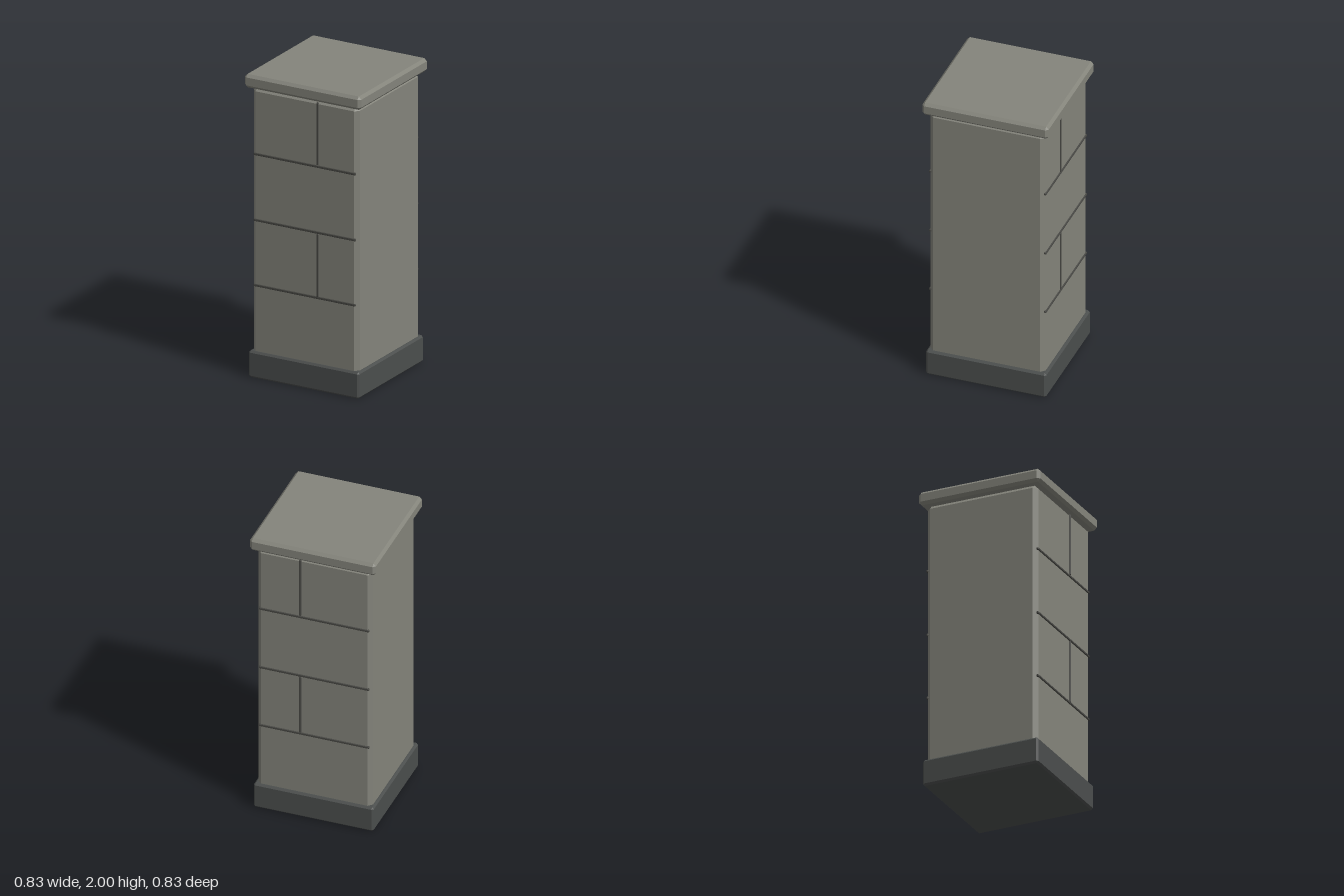
import * as THREE from 'three';
import { ConvexGeometry } from 'three/addons/geometries/ConvexGeometry.js';

const stone = new THREE.MeshStandardMaterial({ color: 0x84847b, flatShading: true });
const darkStone = new THREE.MeshStandardMaterial({ color: 0x4b4e4d, flatShading: true });
const mortar = new THREE.MeshStandardMaterial({ color: 0x484844, flatShading: true });

// Box with every edge cut off by a flat bevel of size c
function bevelledBox(w, h, d, c) {
  const points = [];
  for (const sx of [-1, 1]) for (const sy of [-1, 1]) for (const sz of [-1, 1]) {
    const x = w / 2, y = h / 2, z = d / 2;
    points.push(
      new THREE.Vector3(sx * x, sy * (y - c), sz * (z - c)),
      new THREE.Vector3(sx * (x - c), sy * y, sz * (z - c)),
      new THREE.Vector3(sx * (x - c), sy * (y - c), sz * z),
    );
  }
  return new ConvexGeometry(points);
}

export function createModel() {
  const model = new THREE.Group();
  model.name = 'stonePillar';

  // Adds a bevelled block spanning y0..y1
  const addBlock = (name, material, w, d, y0, y1, c, x = 0, z = 0) => {
    const mesh = new THREE.Mesh(bevelledBox(w, y1 - y0, d, c), material);
    mesh.name = name;
    mesh.position.set(x, (y0 + y1) / 2, z);
    model.add(mesh);
  };

  // Plinth, shaft and cap slab
  addBlock('plinth', darkStone, 0.794, 0.794, 0, 0.175, 0.012);
  addBlock('shaft', stone, 0.76, 0.76, 0.147, 1.914, 0.027);
  addBlock('cap', stone, 0.834, 0.834, 1.912, 2, 0.018);

  // Mortar joints on the front and back faces
  for (const side of [1, -1]) {
    const face = side > 0 ? 'front' : 'back';
    const z = side * 0.379;
    for (const y of [0.61, 1.04, 1.475]) {
      addBlock(face + 'HorizontalJoint', mortar, 0.73, 0.014, y - 0.008, y + 0.008, 0.003, 0, z);
    }
    for (const [y0, y1] of [[0.615, 1.032], [1.485, 1.897]]) {
      addBlock(face + 'VerticalJoint', mortar, 0.016, 0.014, y0, y1, 0.003, 0.092, z);
    }
  }
  return model;
}
